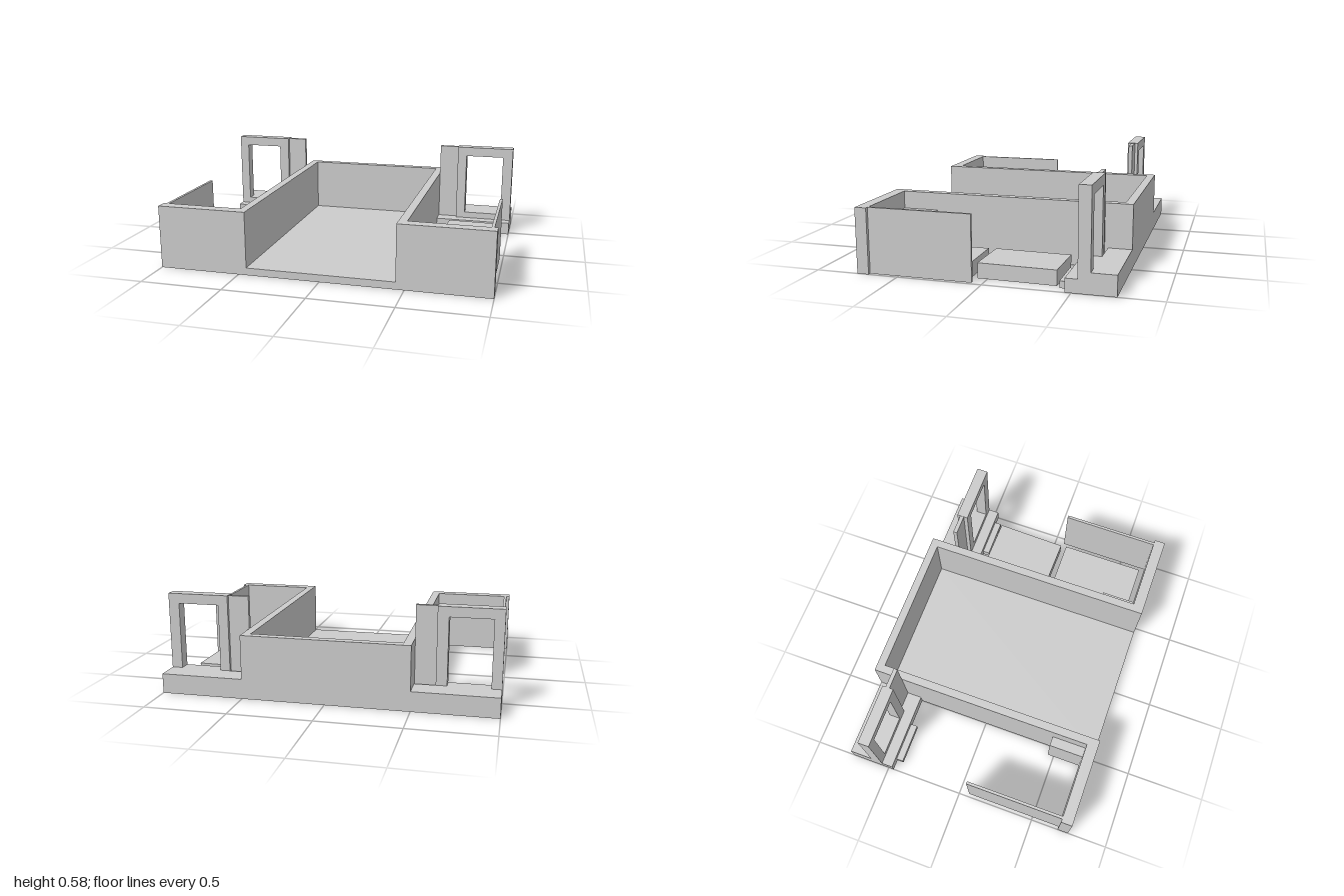
import * as THREE from 'three';

const material = new THREE.MeshStandardMaterial({ color: 0xcccccc, flatShading: true });

// Box given by its limits on each axis
function block(name, [x0, x1], [y0, y1], [z0, z1]) {
  const mesh = new THREE.Mesh(new THREE.BoxGeometry(x1 - x0, y1 - y0, z1 - z0), material);
  mesh.name = name;
  mesh.position.set((x0 + x1) / 2, (y0 + y1) / 2, (z0 + z1) / 2);
  return mesh;
}

// Upright door frame with a rectangular opening
function doorFrame() {
  const rect = (path, x0, x1, y0, y1) =>
    path.moveTo(x0, y0).lineTo(x1, y0).lineTo(x1, y1).lineTo(x0, y1).closePath();
  const outline = new THREE.Shape();
  rect(outline, 0.625, 1, 0, 0.585);
  const opening = new THREE.Path();
  rect(opening, 0.685, 0.935, 0.12, 0.525);
  outline.holes.push(opening);
  const geometry = new THREE.ExtrudeGeometry(outline, { depth: 0.07, bevelEnabled: false });
  const mesh = new THREE.Mesh(geometry, material);
  mesh.name = 'doorFrame';
  mesh.position.z = -0.605;
  return mesh;
}

export function createModel() {
  const model = new THREE.Group();
  model.name = 'building';
  const H = 0.387;      // wall height
  const E = 0.747;      // half depth

  // Central hall: floor and back wall, open at the front
  model.add(
    block('hallFloor', [-0.45, 0.45], [0, 0.045], [-0.697, E]),
    block('hallBackWall', [-0.45, 0.45], [0, H], [-E, -0.697])
  );

  // Parts that repeat on both sides
  for (const side of [1, -1]) {
    const wing = new THREE.Group();
    wing.name = side > 0 ? 'leftWing' : 'rightWing';
    const add = (name, x, y, z) => {
      const limits = side > 0 ? x : [-x[1], -x[0]];
      wing.add(block(name, limits, y, z));
    };
    add('hallSideWall', [0.45, 0.5], [0, H], [-E, E]);
    add('frontWall', [0.5, 1], [0, H], [0.677, E]);
    add('sideScreen', [0.963, 0.98], [0, H], [0.063, 0.677]);
    add('pillar', [0.5, 0.56], [0, 0.28], [0.46, 0.677]);

    // Rear porch with its steps
    add('porch', [0.5, 1], [0, 0.12], [-E, -0.605]);
    add('porchInfill', [0.5, 0.625], [0, 0.08], [-0.605, -0.535]);
    add('upperStep', [0.5, 1], [0, 0.08], [-0.535, -0.465]);
    add('lowerStep', [0.685, 0.935], [0, 0.04], [-0.465, -0.422]);

    // Doorway and the thin panel linking it to the hall
    add('doorPanel', [0.5, 0.625], [0.08, 0.583], [-0.585, -0.56]);
    const frame = doorFrame();
    if (side < 0) frame.position.x = -1.625;
    wing.add(frame);
    model.add(wing);
  }

  // Two low slabs lying in one wing, the rear one slightly askew
  model.add(block('frontSlab', [0.593, 0.9], [0, 0.09], [0.095, 0.643]));
  const rearSlab = block('rearSlab', [0.59, 0.9], [0, 0.09], [-0.405, 0.055]);
  rearSlab.rotation.y = -0.025;
  model.add(rearSlab);

  return model;
}
